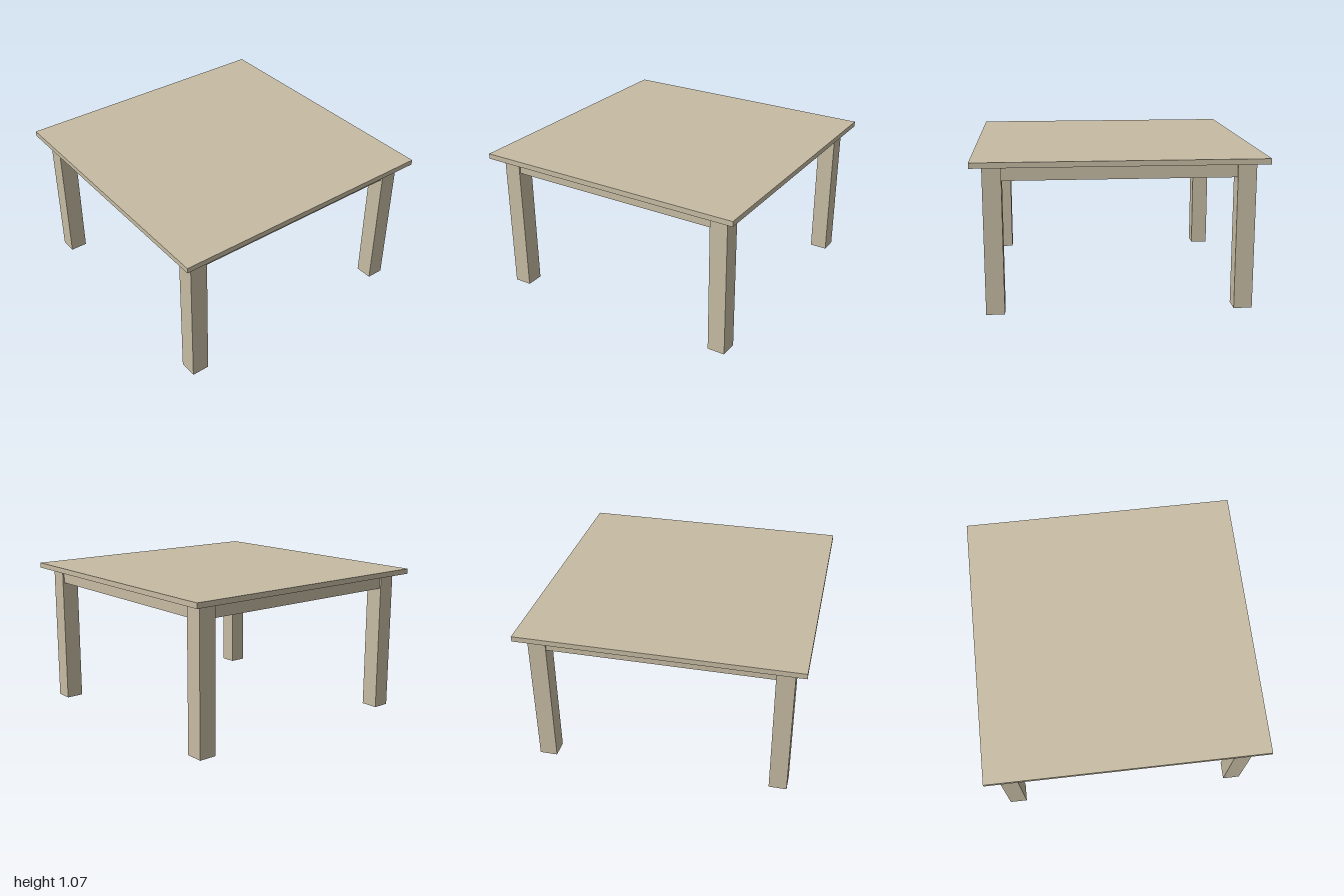
import * as THREE from 'three';

export function createModel() {
  const wood = new THREE.MeshStandardMaterial({ color: 0xc6bba3 });
  wood.name = 'pale wood';
  const table = new THREE.Group();
  table.name = 'table';

  const addBox = (name, w, h, d, x, y, z) => {
    const mesh = new THREE.Mesh(new THREE.BoxGeometry(w, h, d), wood);
    mesh.name = name;
    mesh.position.set(x, y, z);
    table.add(mesh);
  };

  const top = 1.07, underside = 1.032;
  const legOuter = 0.922, legInner = 0.794;
  const railOuter = 0.91, railInner = 0.88, railBottom = 0.93;

  // Square top
  addBox('tabletop', 2, top - underside, 2, 0, (top + underside) / 2, 0);

  // Four square legs
  const legSize = legOuter - legInner;
  const legAt = (legOuter + legInner) / 2;
  for (const [sx, side] of [[-1, 'Right'], [1, 'Left']]) {
    for (const [sz, end] of [[1, 'front'], [-1, 'back']]) {
      addBox(`${end}${side}Leg`, legSize, underside, legSize, sx * legAt, underside / 2, sz * legAt);
    }
  }

  // Thin apron rails between the legs, set just inside the outer leg faces
  const railHeight = underside - railBottom;
  const railY = (underside + railBottom) / 2;
  const railAt = (railOuter + railInner) / 2;
  const railDepth = railOuter - railInner;
  const span = legInner * 2;
  for (const s of [1, -1]) {
    addBox(s > 0 ? 'frontRail' : 'backRail', span, railHeight, railDepth, 0, railY, s * railAt);
    addBox(s > 0 ? 'leftRail' : 'rightRail', railDepth, railHeight, span, s * railAt, railY, 0);
  }

  return table;
}
